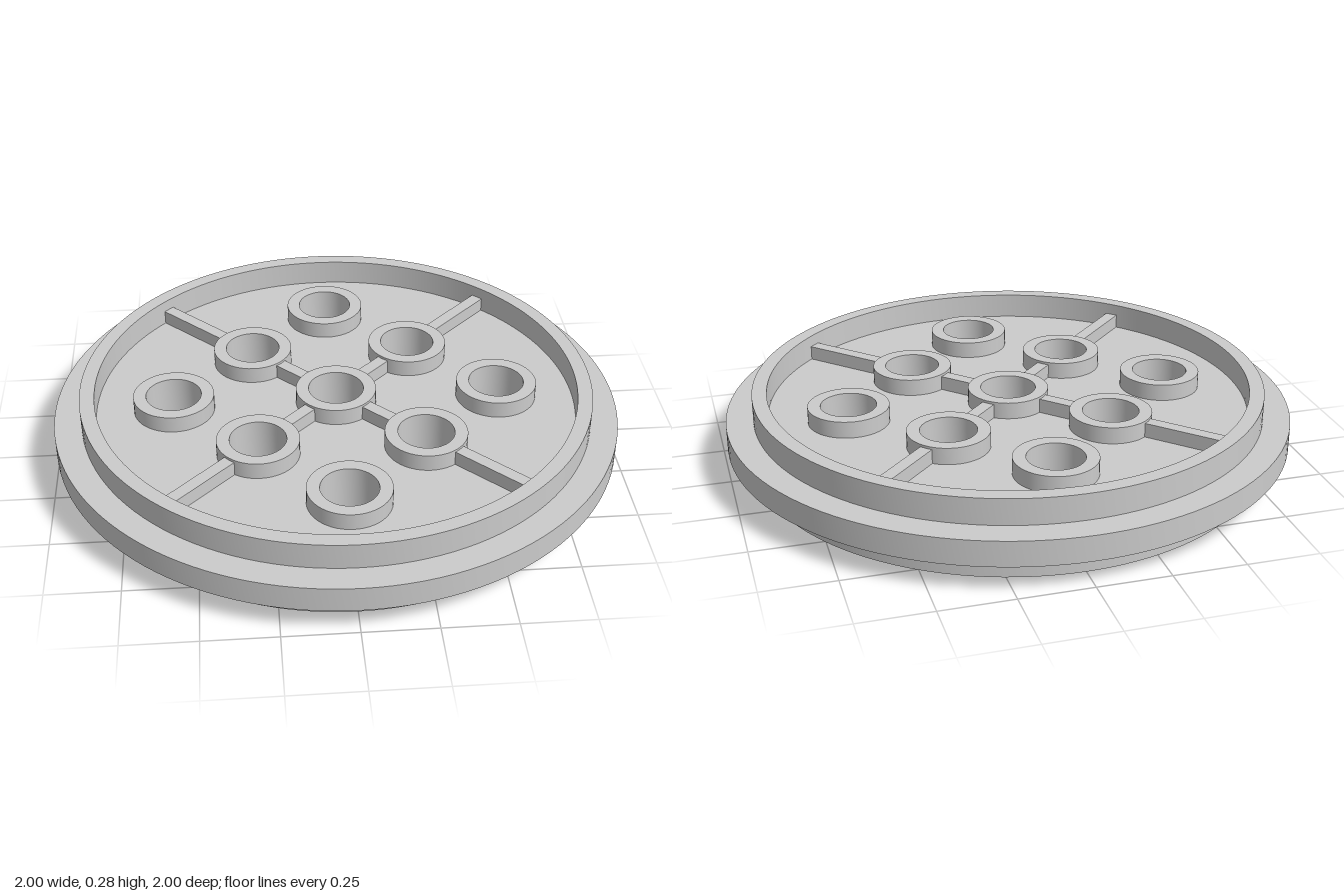
import * as THREE from 'three';
import { toCreasedNormals } from 'three/addons/utils/BufferGeometryUtils.js';

const HEIGHT = 0.275, MID = HEIGHT / 2;
const WEB = 0.09;                  // thickness of the central plate
const HOLE = 0.098, BOSS = 0.143;  // inner and outer boss radii
const BOSS_H = 0.21, RIB_H = 0.192, RIB_W = 0.045;
const RIM_IN = 0.853;

const material = new THREE.MeshStandardMaterial({ color: 0xcccccc });

function add(group, name, geometry, x = 0, y = MID, z = 0) {
  const mesh = new THREE.Mesh(geometry, material);
  mesh.name = name;
  mesh.position.set(x, y, z);
  group.add(mesh);
  return mesh;
}

// Closed ring turned from an [radius, y] outline: up the outside, down the inside
function turned(outline, segments) {
  const points = [...outline, outline[0]].map(([r, y]) => new THREE.Vector2(r, y));
  return toCreasedNormals(new THREE.LatheGeometry(points, segments), 0.6);
}

export function createModel() {
  const wheel = new THREE.Group();
  wheel.name = 'wheel';

  // Rim with a wider flange round its middle
  const h = MID, f = 0.045;
  add(wheel, 'rim', turned([
    [RIM_IN, -h], [0.905, -h], [0.905, -f], [1, -f],
    [1, f], [0.905, f], [0.905, h], [RIM_IN, h],
  ], 128));

  // Hole positions: centre, four diagonal, four outer
  const holes = [[0, 0]];
  for (const s of [-1, 1]) {
    holes.push([0.288 * s, 0.288], [0.288 * s, -0.288], [0.577 * s, 0], [0, 0.577 * s]);
  }

  // Web plate, pierced where the bosses pass through
  const disc = new THREE.Shape().absarc(0, 0, 0.875, 0, Math.PI * 2);
  for (const [x, z] of holes) {
    disc.holes.push(new THREE.Path().absarc(x, z, 0.12, 0, Math.PI * 2, true));
  }
  const web = new THREE.ExtrudeGeometry(disc, { depth: WEB, bevelEnabled: false, curveSegments: 64 });
  web.translate(0, 0, -WEB / 2).rotateX(-Math.PI / 2);
  add(wheel, 'web', web);

  // Tubular bosses, standing out on both faces
  const b = BOSS_H / 2;
  const boss = turned([[HOLE, -b], [BOSS, -b], [BOSS, b], [HOLE, b]], 48);
  for (const [x, z] of holes) add(wheel, 'boss', boss, x, MID, z);

  // Diagonal ribs in two lengths: hub to boss, then boss to rim
  const ring = 0.288 * Math.SQRT2;
  for (let i = 0; i < 4; i++) {
    const spoke = new THREE.Group();
    spoke.name = 'spoke';
    spoke.rotation.y = Math.PI / 4 + i * Math.PI / 2;
    for (const [from, to] of [[0.13, ring - 0.13], [ring + 0.13, RIM_IN + 0.01]]) {
      add(spoke, 'rib', new THREE.BoxGeometry(to - from, RIB_H, RIB_W), (from + to) / 2);
    }
    wheel.add(spoke);
  }
  return wheel;
}
